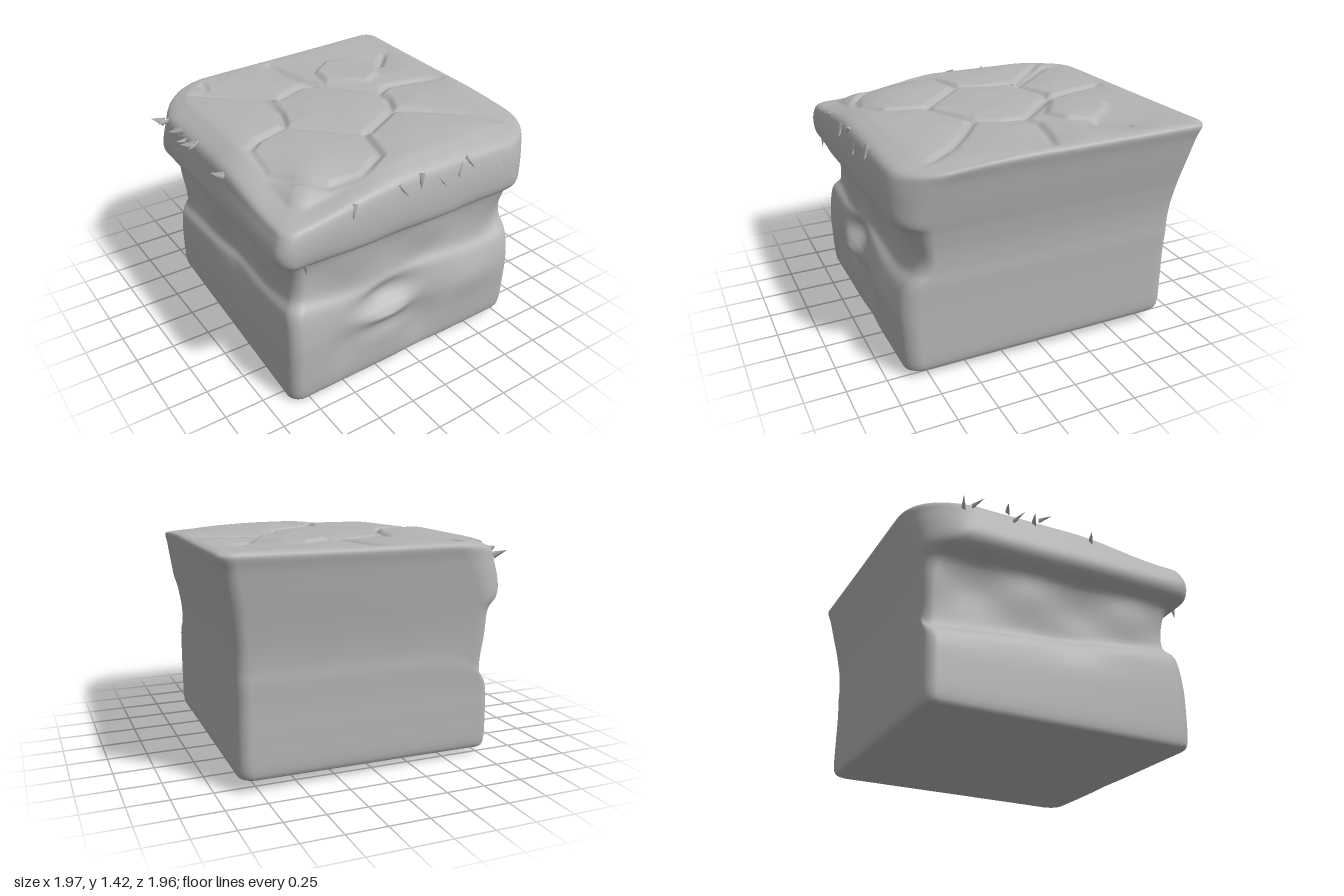
import * as THREE from 'three';
import { mergeVertices } from 'three/addons/utils/BufferGeometryUtils.js';

const stone = new THREE.MeshStandardMaterial({ color: 0xb4b4b4 });
stone.name = 'stone grey';

const pairs = (a) => a.reduce((out, v, i) => (i % 2 ? out : [...out, new THREE.Vector2(v, a[i + 1])]), []);
const curve = (...a) => new THREE.SplineCurve(pairs(a));
const smooth = THREE.MathUtils.smoothstep;
const mix = THREE.MathUtils.lerp;

// Side profiles: outward distance, height
const FRONT = curve(.84, 0, .89, .03, .905, .25, .905, .43, .88, .59, .83, .68, .835, .85, .86, .96, .935, 1.01, .955, 1.12, .945, 1.26, .91, 1.345, .8, 1.388);
const LEFT = curve(.83, 0, .87, .03, .875, .25, .87, .45, .855, .61, .81, .69, .82, .85, .85, .97, .93, 1.03, .953, 1.1, .925, 1.22, .89, 1.315, .77, 1.385);
const RIGHT = curve(.83, 0, .875, .04, .88, .25, .88, .45, .885, .6, .885, .7, .892, .82, .91, .95, .925, 1.03, .945, 1.13, .975, 1.29, .995, 1.38, .955, 1.4);
const BACK = curve(.83, 0, .87, .04, .875, .25, .875, .45, .88, .6, .88, .7, .89, .82, .91, .95, .925, 1.03, .945, 1.13, .975, 1.29, .995, 1.38, .955, 1.4);

// Seams between the paving stones: x, z
const SEAMS = [
  [-.72, -.75, -.55, -.6, -.29, -.34, -.32, -.12, -.39, .06, -.62, .13, -.72, .2, -.75, .46, -.66, .6, -.52, .74, -.32, .78, -.12, .67, -.05, .4],
  [-.39, .06, -.05, .4, 0, .4, .3, .23, .38, .06, .39, -.08, .12, -.37, 0, -.41, -.22, -.32, -.55, -.7, -.53, -.9],
  [.12, -.37, .06, -.52, 0, -.83],
  [.39, -.04, .5, -.1, .7, -.06, .93, .01],
  [.3, .23, .5, .38, .66, .52, .8, .73],
  [.8, -.55, .67, -.42],
].map(pairs);
const RAISED = pairs([.18, -.36, .2, -.53, .38, -.66, .5, -.59, .63, -.42, .55, -.27, .42, -.21]);

function segmentDistance(x, z, p, q) {
  const dx = q.x - p.x, dz = q.y - p.y;
  const k = THREE.MathUtils.clamp(((x - p.x) * dx + (z - p.y) * dz) / (dx * dx + dz * dz), 0, 1);
  return Math.hypot(x - p.x - k * dx, z - p.y - k * dz);
}

function topRelief(x, z) {
  let d = 1;
  for (const s of SEAMS) for (let i = 1; i < s.length; i++) d = Math.min(d, segmentDistance(x, z, s[i - 1], s[i]));
  // signed distance inside the raised stone
  let inside = 1;
  RAISED.forEach((p, i) => {
    const q = RAISED[(i + 1) % RAISED.length], l = p.distanceTo(q);
    inside = Math.min(inside, ((q.x - p.x) * (z - p.y) - (q.y - p.y) * (x - p.x)) / l);
  });
  return -.026 * (1 - smooth(d, 0, .042)) + .012 * smooth(d, 0, .22) + .022 * smooth(inside, -.01, .02);
}

const bump = (x, y, cx, cy, sx, sy) => Math.exp(-(((x - cx) / sx) ** 2) - ((y - cy) / sy) ** 2);

// Point on the block wall: (a, b) on the unit square's rim, t from bottom to top
function wall(a, b, t) {
  const high = smooth(t, .45, .95);
  const r = a < 0 && b < 0 ? .08 + .34 * high : a > 0 && b > 0 ? .12 + .18 * high : .1;
  const c = Math.min(Math.abs(a), Math.abs(b));
  if (c > 1 - r) {
    const phi = ((c - 1 + r) / r) * Math.PI / 4;
    const lo = 1 - r + r * Math.sin(phi), hi = 1 - r + r * Math.cos(phi);
    const aMajor = Math.abs(a) >= Math.abs(b);
    a = Math.sign(a) * (aMajor ? hi : lo);
    b = Math.sign(b) * (aMajor ? lo : hi);
  }
  const F = FRONT.getPoint(t), L = LEFT.getPoint(t), R = RIGHT.getPoint(t), B = BACK.getPoint(t);
  const u = (a + 1) / 2, v = (b + 1) / 2;
  let x = mix(-L.x, R.x, u), z = mix(-B.x, F.x, v);
  // skewed plan
  x += mix(.07, .02, high) * (1 - u) * (1 - v) - .055 * u * v;
  z += mix(.07, .1, high) * (1 - u) * (1 - v) - .04 * high * u ** 3 * v;
  const w = [Math.max(0, b), Math.max(0, -a), Math.max(0, a), Math.max(0, -b)].map((k) => k ** 6);
  let y = (w[0] * F.y + w[1] * L.y + w[2] * R.y + w[3] * B.y) / (w[0] + w[1] + w[2] + w[3]);
  // carved front: lip, scoops, bulge and worn corner
  z += w[0] * (.04 * bump(x, y, -.2, .42 + .5 * (x + .2) ** 2, .18, .04) - .075 * bump(x, y, -.18, .54, .2, .075)
    - .025 * bump(x, y, -.2, .33, .2, .05) - .035 * bump(x, y, .06, .24, .13, .18)
    + .02 * bump(x, y, .45, .42, .25, .13) - .02 * bump(x, y, -.5, .3, .12, .15)
    - .07 * bump(x, y, .85, .78, .2, .16) + .012 * Math.sin(x * 11) * bump(0, y, 0, .85, 1, .14));
  // carved left side: ledge sinking to the back, shallow dents
  y -= w[1] * .17 * (1 - v) * bump(0, y, 0, .65, 1, .22);
  x += w[1] * (.02 * Math.sin(z * 9) * bump(0, y, 0, .8, 1, .14) + .02 * bump(z, y, .1, .55, .2, .1));
  y += w[0] * .02 * Math.sin(x * 7 + 1) * bump(0, y, 0, .62, 1, .15);
  // tilted base, lifted back right corner and drooping front left corner
  y += Math.max(0, 1 - y / 1.38) * (.041 + .022 * x - .022 * z) + .02 * t * u * u * (1 - v) ** 2;
  y -= smooth(t, .72, 1) * (.11 * smooth((1 - u) * v, .55, 1) + .03 * smooth(u * v, .6, 1));
  return new THREE.Vector3(x, y, z);
}

function blockGeometry() {
  const box = new THREE.BoxGeometry(2, 1, 2, 116, 60, 116);
  box.deleteAttribute('normal');
  box.deleteAttribute('uv');
  const geo = mergeVertices(box);
  geo.clearGroups();
  const pos = geo.attributes.position;
  for (let i = 0; i < pos.count; i++) {
    const a = pos.getX(i), b = pos.getZ(i), t = THREE.MathUtils.clamp(pos.getY(i) + .5, 0, 1);
    const m = Math.max(Math.abs(a), Math.abs(b));
    // the middle of a cap has no direction of its own
    const p = m > 1e-5 ? wall(a / m, b / m, t) : wall(0, 1, t);
    if (m < .9999) {
      p.x *= m;
      p.z *= m;
      p.y = t > .5
        ? mix(1.392, p.y, m ** 6) + topRelief(p.x, p.z) * (1 - m ** 14)
        : .041 + .022 * p.x - .022 * p.z;
    }
    pos.setXYZ(i, p.x, p.y, p.z);
  }
  geo.computeVertexNormals();
  return geo;
}

export function createModel() {
  const model = new THREE.Group();
  model.name = 'stoneBlock';
  const block = new THREE.Mesh(blockGeometry(), stone);
  block.name = 'carvedBlock';
  model.add(block);

  // Small splinters along the front and left rims
  const splinters = new THREE.Group();
  splinters.name = 'rimSplinters';
  const shard = new THREE.ConeGeometry(.028, .09, 4).translate(0, .02, 0).scale(1, 1, .5);
  const up = new THREE.Vector3(0, 1, 0);
  const addShard = (x, y, z, dx, dy, dz) => {
    const mesh = new THREE.Mesh(shard, stone);
    mesh.name = 'splinter';
    mesh.position.set(x, y, z);
    mesh.quaternion.setFromUnitVectors(up, new THREE.Vector3(dx, dy, dz).normalize());
    splinters.add(mesh);
  };
  [-.48, -.16, -.02, .12, .27, .34, .58].forEach((x, i) =>
    addShard(x, 1.27 + .025 * (i % 3), .93 - .05 * Math.max(0, x), i % 2 ? .5 : -.4, -.8, .6));
  [-.65, -.57, -.36, -.3, -.18, -.12, .22].forEach((z, i) =>
    addShard(-.915, 1.28 + .025 * (i % 3), z, -1, .4 - .25 * (i % 3), i % 2 ? .5 : -.4));
  addShard(-.78, 1.01, .92, 0, -1, .1);
  model.add(splinters);
  return model;
}
